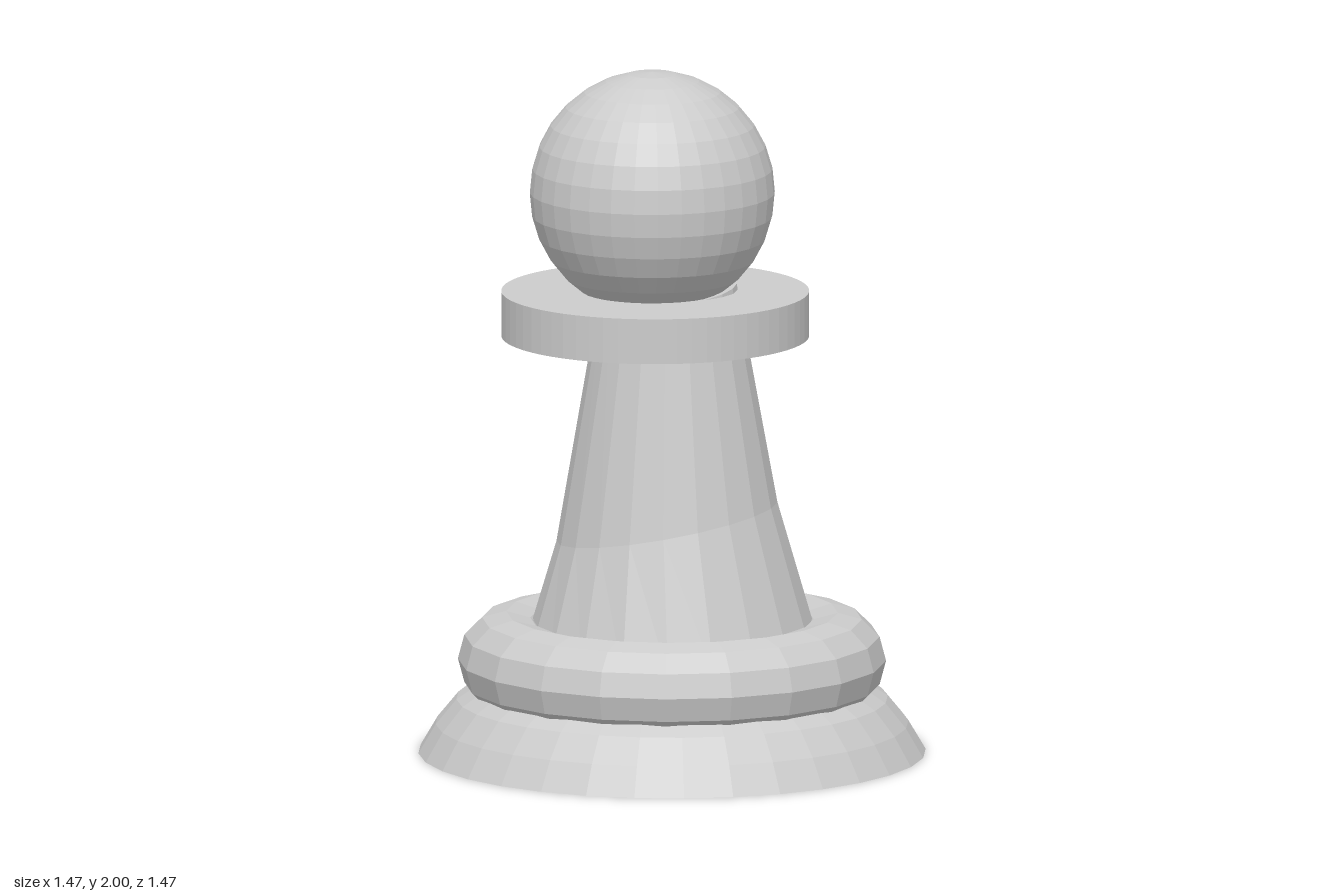
import * as THREE from 'three';

const material = new THREE.MeshStandardMaterial({ color: 0xcccccc, flatShading: true });

function add(group, name, geometry, x = 0, y = 0, z = 0) {
  const mesh = new THREE.Mesh(geometry, material);
  mesh.name = name;
  mesh.position.set(x, y, z);
  group.add(mesh);
}

function lathe(points, sides) {
  return new THREE.LatheGeometry(points.map(([r, y]) => new THREE.Vector2(r, y)), sides);
}

export function createModel() {
  const group = new THREE.Group();
  group.name = 'pawn';

  // Domed foot with a closed underside
  add(group, 'foot', lathe([[0, 0], [0.735, 0], [0.685, 0.085], [0.625, 0.158], [0.54, 0.215], [0, 0.25]], 32));

  // Thick rounded ring on the foot
  add(group, 'baseRing', new THREE.TorusGeometry(0.48, 0.14, 12, 20).rotateX(-Math.PI / 2), 0, 0.27, 0);

  // Stem: tapered rings, the waist and the top slightly tilted
  const rings = [
    { r: 0.43, y: 0.3, cx: -0.005, tiltX: 0, tiltZ: 0 },
    { r: 0.32, y: 0.672, cx: -0.022, tiltX: 0.18, tiltZ: -0.04 },
    { r: 0.2, y: 1.35, cx: -0.02, tiltX: 0.1, tiltZ: -0.08 },
  ];
  const stem = lathe([...rings.map((k) => [k.r, k.y]), [0, 1.35]], 20);
  const pos = stem.attributes.position;
  for (let i = 0; i < pos.count; i++) {
    const k = rings[Math.min(i % 4, 2)];
    const x = pos.getX(i), z = pos.getZ(i);
    pos.setXYZ(i, x + k.cx, k.y + x * k.tiltX + z * k.tiltZ, z - 0.018);
  }
  add(group, 'stem', stem);

  // Flat collar and ball head, both a little off centre
  add(group, 'collar', new THREE.CylinderGeometry(0.446, 0.446, 0.132, 64), -0.047, 1.29, 0.013);
  add(group, 'head', new THREE.SphereGeometry(0.355, 32, 16), -0.057, 1.645, 0.01);

  return group;
}
